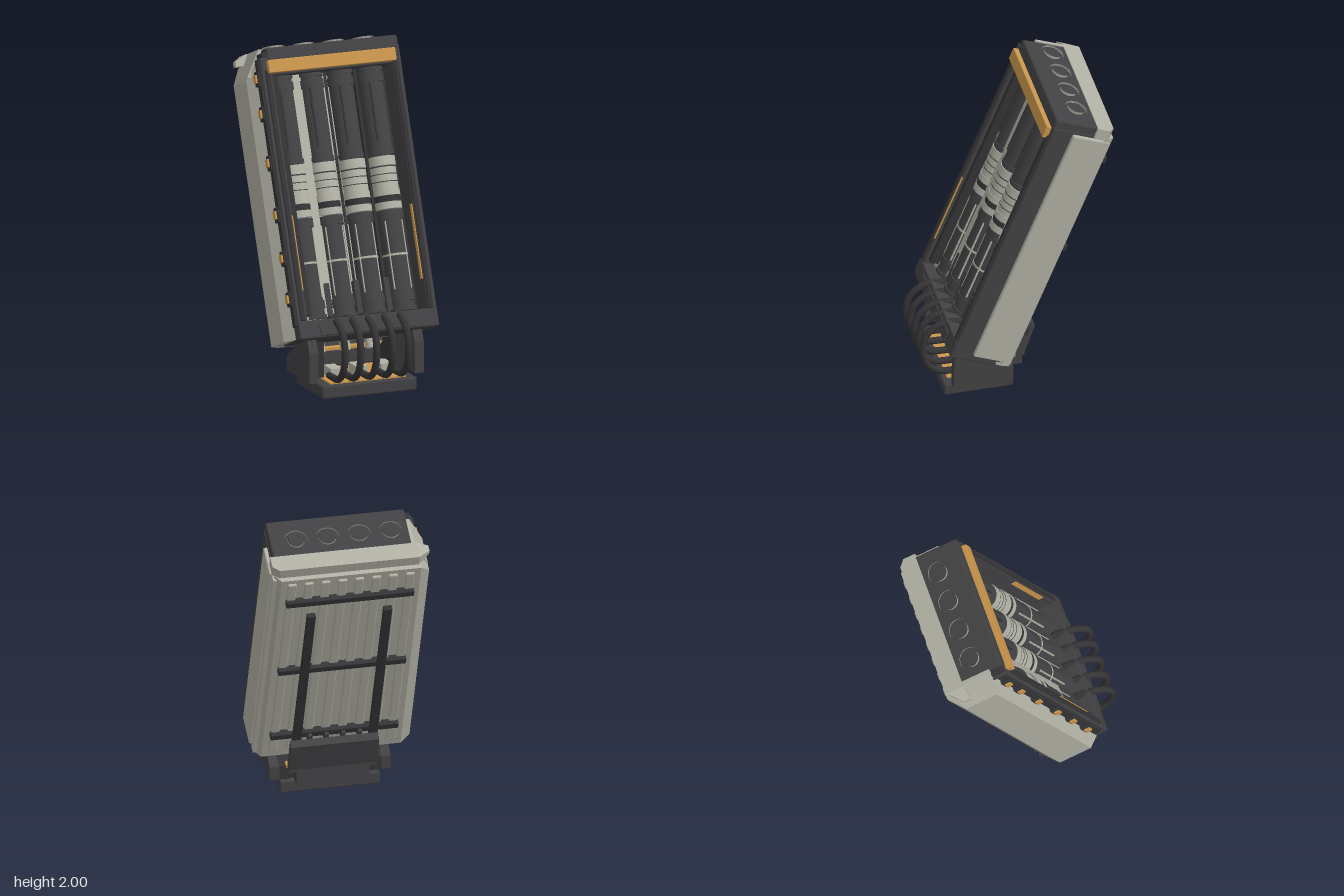
import * as THREE from 'three';
import { RoundedBoxGeometry } from 'three/addons/geometries/RoundedBoxGeometry.js';
import { ConvexGeometry } from 'three/addons/geometries/ConvexGeometry.js';

const material = (name, color) => {
  const m = new THREE.MeshStandardMaterial({ color });
  m.name = name;
  return m;
};

export function createModel() {
  const dark = material('dark metal', 0x424244);
  const black = material('black metal', 0x343436);
  const light = material('light grey panel', 0xb0b0a4);
  const gold = material('gold', 0xc8954c);

  const model = new THREE.Group();
  model.name = 'tiltedTubeRack';
  const rack = new THREE.Group();
  rack.name = 'rack';
  rack.rotation.x = THREE.MathUtils.degToRad(-22);
  model.add(rack);

  const add = (parent, name, geometry, mat) => {
    const mesh = new THREE.Mesh(geometry, mat);
    mesh.name = name;
    parent.add(mesh);
    return mesh;
  };
  // box given by its limits on each axis, with an optional rounded edge
  const box = (parent, name, mat, x0, x1, y0, y1, z0, z1, r = 0) => {
    const s = [x1 - x0, y1 - y0, z1 - z0];
    const g = r ? new RoundedBoxGeometry(...s, 1, r) : new THREE.BoxGeometry(...s);
    const mesh = add(parent, name, g, mat);
    mesh.position.set((x0 + x1) / 2, (y0 + y1) / 2, (z0 + z1) / 2);
    return mesh;
  };
  // side profile of [z, y] points, extruded across x
  const plate = (parent, name, mat, profile, x0, x1) => {
    const shape = new THREE.Shape(profile.map(([z, y]) => new THREE.Vector2(-z, y)));
    const g = new THREE.ExtrudeGeometry(shape, { depth: x1 - x0, bevelEnabled: false });
    g.rotateY(Math.PI / 2);
    g.translate(x0, 0, 0);
    return add(parent, name, g, mat);
  };
  // convex body from [height, [x, z] points] sections
  const hull = (parent, name, mat, sections) => add(parent, name, new ConvexGeometry(
    sections.flatMap(([y, ring]) => ring.map(([x, z]) => new THREE.Vector3(x, y, z)))), mat);

  // light shell behind the rack, wider on the latch side
  const wide = [[-0.42, 0.49], [-0.485, 0.42], [-0.485, 0.21], [-0.42, 0.152],
    [0.42, 0.152], [0.455, 0.2], [0.455, 0.25], [0.4, 0.36]];
  const narrow = wide.map(([x, z]) => [Math.max(x, -0.43), z]);
  hull(rack, 'backShell', light, [[0.2, wide], [1.77, wide], [1.87, narrow]]);
  for (let i = 0; i < 8; i++) {
    const x = -0.355 + i * 0.71 / 7;
    box(rack, 'backRib', light, x - 0.027, x + 0.027, 0.27, 1.84, 0.136, 0.17, 0.008);
  }
  // back top trim with its sloped end
  const trim = [[-0.485, 0.29], [-0.485, 0.25], [-0.41, 0.18], [0.43, 0.18], [0.47, 0.215], [0.47, 0.29]];
  hull(rack, 'topTrim', light, [
    [1.87, trim], [1.9, trim], [1.94, trim.map(([x, z]) => [Math.max(x, -0.41), z])]]);
  hull(rack, 'trimCorner', light, [
    [1.78, [[-0.485, 0.25], [-0.485, 0.44], [-0.39, 0.47], [-0.39, 0.25]]],
    [1.94, [[-0.4, 0.25], [-0.4, 0.47], [-0.38, 0.47], [-0.38, 0.25]]]]);

  // frame around the open front
  box(rack, 'innerBack', black, -0.42, 0.45, 0.25, 1.88, 0.26, 0.385);
  box(rack, 'frameRight', dark, -0.43, -0.365, 0.24, 1.88, 0.36, 0.55, 0.008);
  box(rack, 'frameLeft', dark, 0.4, 0.458, 0.22, 1.88, 0.24, 0.55, 0.008);
  box(rack, 'frameLip', black, -0.445, -0.42, 0.27, 1.86, 0.49, 0.54, 0.006);
  box(rack, 'frameLip', black, 0.405, 0.435, 0.3, 1.8, 0.54, 0.56, 0.006);
  box(rack, 'frameLip', black, -0.41, -0.38, 0.3, 1.8, 0.54, 0.56, 0.006);
  box(rack, 'innerRail', black, -0.365, -0.328, 0.33, 1.8, 0.38, 0.53, 0.005);
  box(rack, 'frameBottom', dark, -0.43, 0.458, 0.19, 0.3, 0.26, 0.555, 0.01);
  box(rack, 'bottomLip', dark, -0.3, 0.31, 0.2, 0.27, 0.54, 0.562, 0.006);
  box(rack, 'frameTop', dark, -0.41, 0.455, 1.77, 1.88, 0.28, 0.545, 0.008);
  box(rack, 'topCap', dark, -0.385, 0.452, 1.855, 1.936, 0.27, 0.555, 0.012);
  box(rack, 'topCapEnd', black, -0.415, -0.375, 1.855, 1.91, 0.45, 0.545, 0.008);
  box(rack, 'goldBar', gold, -0.395, 0.418, 1.782, 1.86, 0.54, 0.583, 0.004);
  box(rack, 'goldStrip', gold, 0.394, 0.4, 0.48, 0.93, 0.51, 0.54);
  box(rack, 'goldStrip', gold, -0.372, -0.366, 0.48, 0.93, 0.535, 0.553);

  // light panel on the left side
  box(rack, 'sidePanel', light, 0.45, 0.482, 0.24, 1.865, 0.222, 0.425, 0.008);
  box(rack, 'sidePanelEdge', light, 0.44, 0.465, 0.21, 1.85, 0.18, 0.23);

  // latches on the right side
  for (const y of [0.44, 0.685, 0.945, 1.257, 1.55, 1.76]) {
    box(rack, 'latchHousing', black, -0.455, -0.42, y - 0.045, y + 0.045, 0.475, 0.535, 0.006);
    box(rack, 'latch', gold, -0.467, -0.45, y - 0.025, y + 0.025, 0.488, 0.525, 0.004);
  }

  // four tubes: [bottom, top, radius, material] for each band
  const bands = [
    [0.31, 0.88, 0.077, dark], [0.31, 0.335, 0.085, dark], [0.37, 0.42, 0.083, dark],
    [0.64, 0.653, 0.079, light], [0.86, 0.915, 0.083, dark],
    [0.92, 0.962, 0.084, light], [0.962, 1.0, 0.081, black], [1.0, 1.04, 0.084, light],
    [1.04, 1.17, 0.08, light], [1.08, 1.085, 0.0815, dark], [1.125, 1.13, 0.0815, dark],
    [1.17, 1.178, 0.0815, dark], [1.178, 1.235, 0.083, light], [1.235, 1.8, 0.077, dark],
    [1.245, 1.27, 0.082, dark], [1.68, 1.73, 0.083, dark], [1.75, 1.79, 0.084, dark],
  ];
  const tubeZ = 0.41;
  for (const x of [-0.275, -0.085, 0.105, 0.295]) {
    const tube = new THREE.Group();
    tube.name = 'tube';
    tube.position.set(x, 0, tubeZ);
    rack.add(tube);
    for (const [y0, y1, r, mat] of bands) {
      add(tube, 'tubeBand', new THREE.CylinderGeometry(r, r, y1 - y0, 32), mat)
        .position.y = (y0 + y1) / 2;
    }
    for (const side of [-1, 1]) {
      box(tube, 'tubeStripe', light, side * 0.053 - 0.003, side * 0.053 + 0.003, 0.44, 0.85, 0.05, 0.062);
    }
    box(tube, 'tubeRib', black, -0.036, -0.026, 1.33, 1.68, 0.06, 0.077);
    // port on the top cap
    const port = new THREE.Group();
    port.name = 'topPort';
    port.position.set(x, 1.937, 0.393);
    rack.add(port);
    const ring = [[0.05, 0], [0.05, 0.015], [0.056, 0.02], [0.065, 0.018], [0.07, 0.008], [0.07, 0]];
    add(port, 'portRing', new THREE.LatheGeometry(
      ring.map(([r, y]) => new THREE.Vector2(r, y)), 32), light).material = light;
    add(port, 'portCap', new THREE.CylinderGeometry(0.047, 0.05, 0.018, 32), dark).position.y = 0.007;
  }
  // spacers between tubes
  for (const x of [-0.18, 0.01, 0.2]) {
    box(rack, 'tubeSpacer', dark, x - 0.018, x + 0.018, 0.3, 0.52, 0.38, 0.46, 0.005);
    box(rack, 'tubeDivider', black, x - 0.008, x + 0.008, 0.3, 1.78, 0.38, 0.43);
  }

  // ladder on the back
  for (const y of [0.42, 1.036, 1.68]) {
    box(rack, 'ladderCrossbar', black, -0.385, 0.385, y - 0.022, y + 0.022, 0.11, 0.155, 0.006);
  }
  for (const x of [-0.23, 0.23]) {
    box(rack, 'ladderRail', black, x - 0.026, x + 0.026, 0.345, 1.585, 0.085, 0.12, 0.005);
  }
  for (let i = 0; i < 4; i++) {
    const x = -0.15 + i * 0.1;
    box(rack, 'backPin', dark, x - 0.012, x + 0.012, 0.36, 0.43, 0.09, 0.15);
  }

  // base
  const base = new THREE.Group();
  base.name = 'base';
  model.add(base);
  box(base, 'baseSlab', dark, -0.29, 0.315, 0.003, 0.083, 0.022, 0.442, 0.012);
  box(base, 'baseGoldPlate', gold, -0.23, 0.255, 0.083, 0.092, 0.05, 0.41);
  const cheek = [[0.4, 0.095], [0.395, 0.28], [0.36, 0.36], [0.2, 0.3], [0.16, 0.26],
    [0.1, 0.22], [0.035, 0.18], [0.035, 0.095]];
  plate(base, 'cheek', dark, cheek, -0.355, -0.298);
  plate(base, 'cheek', dark, cheek, 0.316, 0.375);
  const brace = [[0.27, 0.09], [0.27, 0.31], [0.14, 0.26], [0.04, 0.18], [0.04, 0.09]];
  plate(base, 'brace', black, brace, -0.3, -0.21);
  plate(base, 'brace', black, brace, 0.23, 0.32);
  plate(base, 'backBlock', dark, [[-0.085, 0.42], [-0.12, 0.39], [-0.055, 0.2], [-0.055, 0.185],
    [0.03, 0.185], [0, 0.2]], -0.255, 0.275);
  box(base, 'backFoot', dark, -0.21, 0.23, 0.095, 0.19, -0.052, 0.04);
  box(base, 'goldHinge', gold, -0.26, 0.28, 0.188, 0.204, 0, 0.05);
  for (const x of [-0.15, 0.01, 0.17]) {
    const strut = add(base, 'strut', new THREE.CylinderGeometry(0.03, 0.03, 0.16, 16), light);
    strut.position.set(x, 0.26, 0.04);
    strut.rotation.x = -0.38;
    box(base, 'hoseSocket', light, x - 0.035, x + 0.035, 0.09, 0.15, 0.2, 0.32);
  }

  // hoses from the rack down to the base
  const path = [[0.27, 0.44], [0.36, 0.462], [0.45, 0.452], [0.525, 0.39], [0.55, 0.29],
    [0.52, 0.18], [0.45, 0.12], [0.36, 0.11], [0.3, 0.11]];
  for (const x of [-0.19, -0.09, 0.012, 0.115, 0.215]) {
    const curve = new THREE.CatmullRomCurve3(path.map(([z, y]) => new THREE.Vector3(x, y, z)));
    add(base, 'hose', new THREE.TubeGeometry(curve, 32, 0.021, 12), black);
  }
  return model;
}
